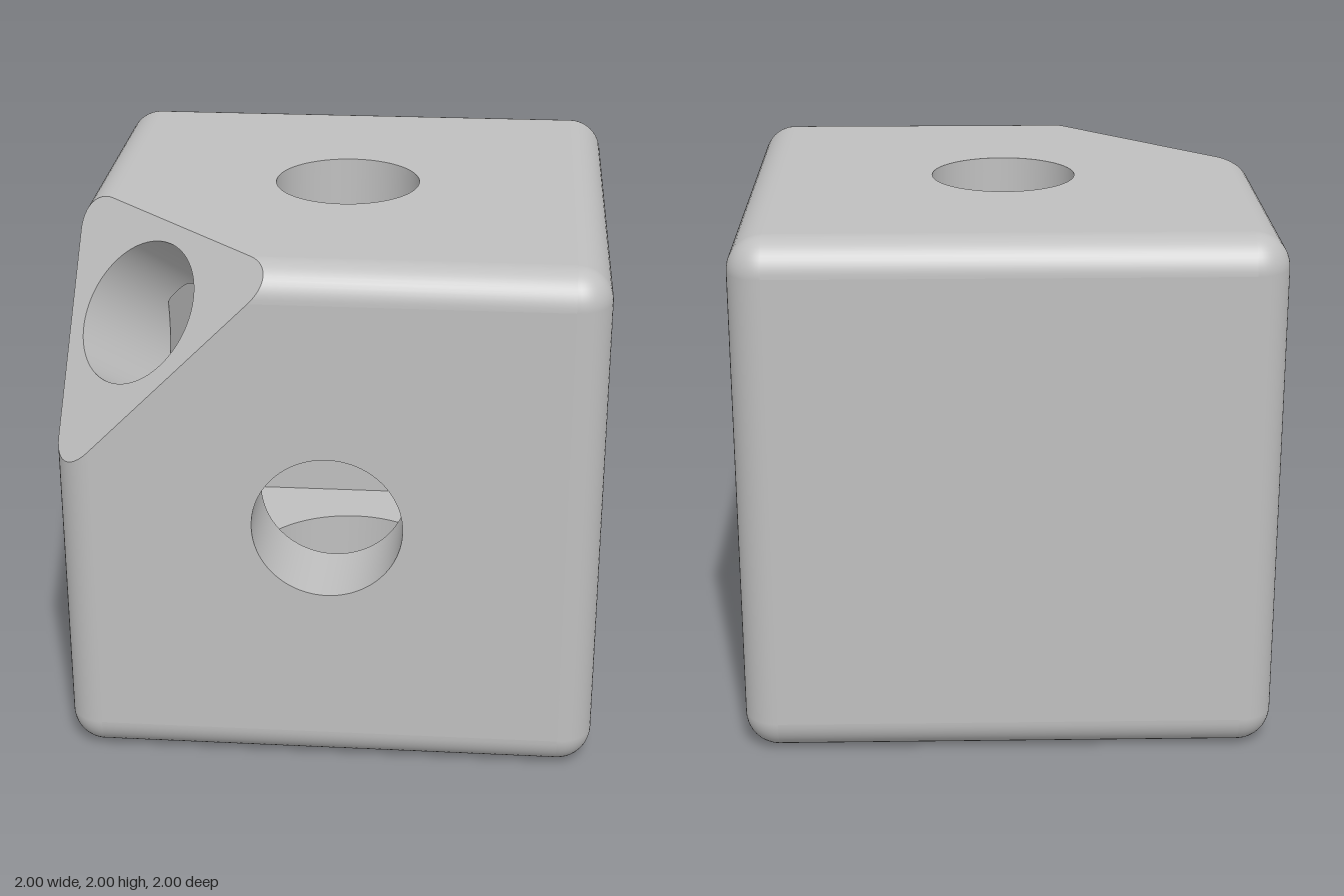
import * as THREE from 'three';
import { mergeVertices } from 'three/addons/utils/BufferGeometryUtils.js';

// Built with the cut corner at (+,+,+), then turned so it ends up at (-x,+y,+z).
const FILLET = 0.13, F = 1 - FILLET;      // edge rounding, half size of flat faces
const C = 0.67;                           // half size of the inner cavity
const CUT = 2.145, CHAMFER = 1.57;        // x+y+z on the cut face and on the cavity chamfer
const R = 0.277, R_BASE = 0.415, R_STEP = 0.5, STEP = 0.933;
const ROOT3 = Math.sqrt(3), SEG = 96;

const V = (x, y, z) => new THREE.Vector3(x, y, z);
const P = (x, y) => new THREE.Vector2(x, y);
const turn = (axis, angle) => new THREE.Matrix4().makeRotationAxis(axis.clone().normalize(), angle);
const X = V(1, 0, 0), Y = V(0, 1, 0), N = V(1, 1, 1).normalize();
const third = k => turn(N, k * Math.PI * 2 / 3);

// Frame whose z axis runs out through the cut corner
const E1 = V(1, 1, -2).normalize();
const DIAG = new THREE.Matrix4().makeBasis(E1, N.clone().cross(E1), N);

// Smooth surface from a rule; its normal is du x dv
function surface(rule, nu, nv) {
  const pos = [], idx = [];
  for (let j = 0; j <= nv; j++)
    for (let i = 0; i <= nu; i++) pos.push(...rule(i / nu, j / nv));
  for (let j = 0; j < nv; j++)
    for (let i = 0; i < nu; i++) {
      const a = j * (nu + 1) + i, b = a + nu + 1;
      idx.push(a, a + 1, b + 1, a, b + 1, b);
    }
  const g = new THREE.BufferGeometry();
  g.setAttribute('position', new THREE.Float32BufferAttribute(pos, 3));
  g.setIndex(idx);
  const merged = mergeVertices(g);
  merged.computeVertexNormals();
  return merged;
}

// Flat plate face with an optional round hole, at height z
function plate(points, hole, z) {
  const shape = new THREE.Shape(points);
  if (hole) shape.holes.push(new THREE.Path().absarc(0, 0, hole, 0, Math.PI * 2, true));
  return new THREE.ShapeGeometry(shape, SEG / 2).translate(0, 0, z);
}
const square = s => [P(-s, -s), P(s, -s), P(s, s), P(-s, s)];

// Inward-facing bore wall around z, from z = top down to end(angle)
const bore = (r, top, end) => surface((u, v) => {
  const t = u * Math.PI * 2;
  return [r * Math.cos(t), r * Math.sin(t), THREE.MathUtils.lerp(top, end(t), v)];
}, SEG, 1);

// Rounded edge along x; the trimmed one stops at the cut face
function edge(trimmed) {
  return surface((u, v) => {
    const t = u * Math.PI / 2, y = F + FILLET * Math.cos(t), z = F + FILLET * Math.sin(t);
    return [THREE.MathUtils.lerp(-F, trimmed ? CUT - y - z : F, v), y, z];
  }, 12, 1);
}

// Outline of the cut face in the diagonal frame
function cutOutline() {
  const inverse = DIAG.clone().invert(), pts = [];
  for (let k = 0; k < 3; k++)
    for (let i = 0; i <= 12; i++) {
      const t = i / 12 * Math.PI / 2, y = F + FILLET * Math.cos(t), z = F + FILLET * Math.sin(t);
      const p = V(CUT - y - z, y, z).applyMatrix4(third(k)).applyMatrix4(inverse);
      pts.push(P(p.x, p.y));
    }
  return pts;
}

// Cavity wall outline: chamfered corner with the diagonal bore bitten out
function wallOutline() {
  const e = CHAMFER - 2 * C, pts = [P(-C, -C), P(C, -C), P(C, e)];
  const limit = Math.acos((C - e) / Math.SQRT2 / (R * ROOT3));
  for (let i = 0; i <= 24; i++) {
    const t = THREE.MathUtils.lerp(-limit, limit, i / 24);
    const along = R * ROOT3 * Math.cos(t) / Math.SQRT2, across = R * Math.sin(t) / Math.SQRT2;
    pts.push(P(C - along - across, C - along + across));
  }
  pts.push(P(e, C), P(-C, C));
  return pts;
}

// Small chamfer remnant between the diagonal bore and two cavity walls
function chamferOutline() {
  const apex = (CHAMFER / 3 - (CHAMFER - 2 * C)) * Math.sqrt(1.5);
  const half = Math.PI / 3 - Math.acos(apex / 2 / R), pts = [P(apex, 0)];
  for (let i = 0; i <= 8; i++) {
    const t = half * (1 - i / 4);
    pts.push(P(R * Math.cos(t), R * Math.sin(t)));
  }
  return pts;
}

export function createModel() {
  const model = new THREE.Group();
  model.name = 'hollowCube';
  const body = new THREE.Group();
  body.name = 'body';
  body.rotation.y = -Math.PI / 2;
  body.position.y = 1;
  model.add(body);
  const grey = new THREE.MeshStandardMaterial({ color: 0xbfbfbf });
  grey.name = 'plain grey';

  const add = (name, geometry, ...matrices) => {
    const mesh = new THREE.Mesh(geometry, grey);
    mesh.name = name;
    for (const m of matrices) geometry.applyMatrix4(m);
    body.add(mesh);
  };

  // Three sides that meet at the cut corner: outer face, bore and cavity wall
  const s = CUT - 1 - F;
  const cornered = [P(-F, -F), P(F, -F), P(F, s), P(s, F), P(-F, F)];
  for (let k = 0; k < 3; k++) {
    add('boredFace', plate(cornered, R, 1), third(k));
    add('sideBore', bore(R, 1, () => C), third(k));
    add('boredCavityWall', plate(wallOutline(), R, -C), turn(V(1, 1, 0), Math.PI), third(k));
    add('cavityChamfer', plate(chamferOutline(), 0, -CHAMFER / ROOT3), turn(X, Math.PI), DIAG, third(k));
  }

  // Two plain sides and the base
  const down = turn(X, Math.PI / 2);
  add('plainFace', plate(square(F), 0, 1), turn(Y, Math.PI));
  add('plainFace', plate(square(F), 0, 1), turn(Y, -Math.PI / 2));
  add('baseFace', plate(square(F), R_STEP, 1), down);
  add('plainCavityWall', plate(square(C), 0, -C));
  add('plainCavityWall', plate(square(C), 0, -C), turn(Y, Math.PI / 2));
  add('cavityFloor', plate(square(C), R_BASE, -C), turn(X, -Math.PI / 2));

  // Stepped opening in the base
  add('baseRecess', bore(R_STEP, 1, () => STEP), down);
  add('baseStep', new THREE.RingGeometry(R_BASE, R_STEP, SEG).translate(0, 0, STEP), down);
  add('baseBore', bore(R_BASE, STEP, () => C), down);

  // Cut corner face and its diagonal bore, which ends where it meets the cavity
  add('cutFace', plate(cutOutline(), R, CUT / ROOT3), DIAG);
  add('diagonalBore', bore(R, CUT / ROOT3, t => {
    const p = V(R * Math.cos(t), R * Math.sin(t), 0).applyMatrix4(DIAG);
    return Math.min(CHAMFER / ROOT3, (C - Math.max(p.x, p.y, p.z)) * ROOT3);
  }), DIAG);

  // Rounded edges and corners
  for (let k = 0; k < 3; k++)
    for (let j = 0; j < 4; j++)
      add('roundedEdge', edge(j === 0), turn(X, j * Math.PI / 2), third(k));
  for (let i = 1; i < 8; i++) {
    const corner = new THREE.SphereGeometry(FILLET, 12, 12, Math.PI / 2, Math.PI / 2, 0, Math.PI / 2);
    add('roundedCorner', corner.translate(F, F, F), turn(Y, i * Math.PI / 2), turn(X, i < 4 ? 0 : Math.PI));
  }
  return model;
}
